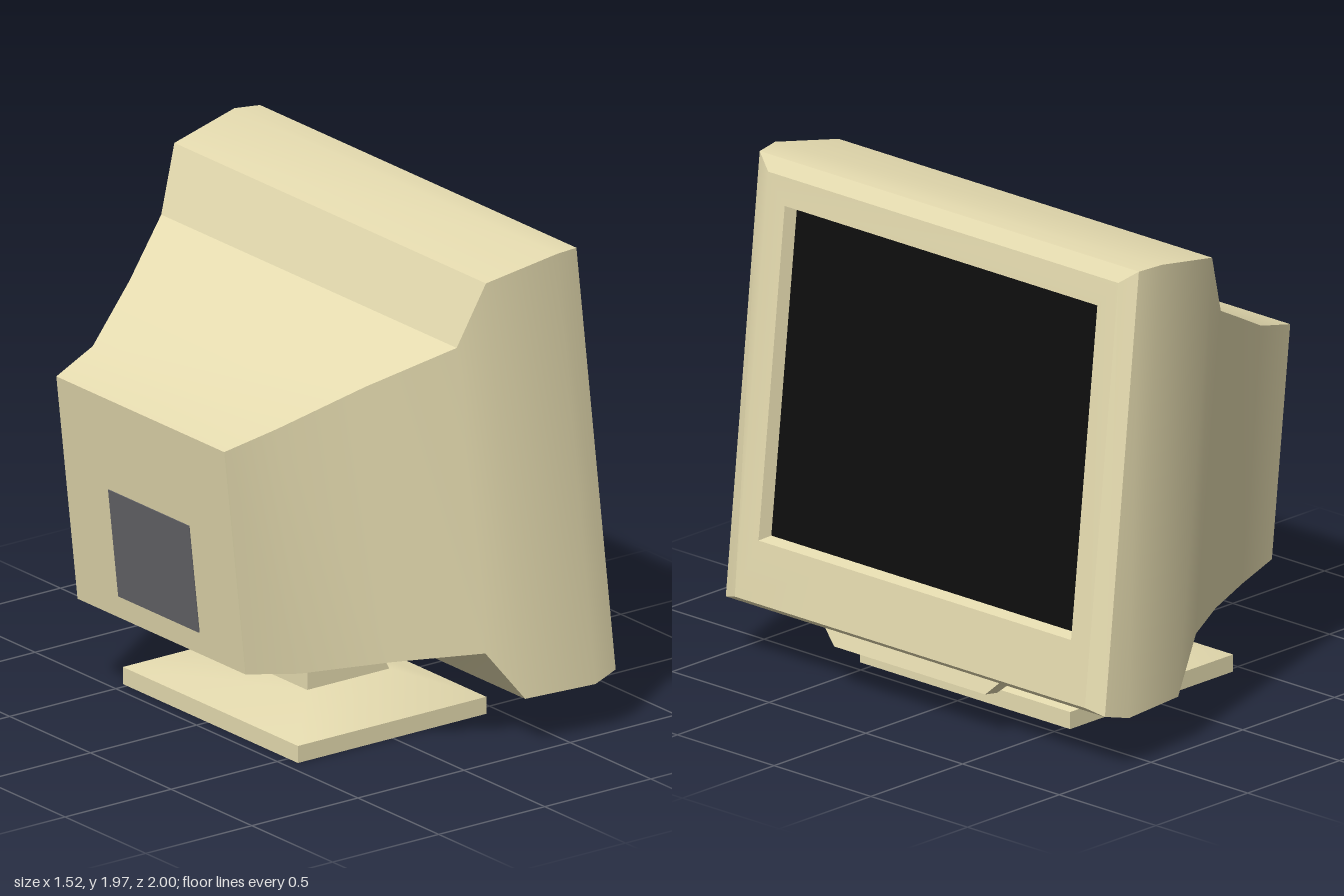
import * as THREE from 'three';
import { toCreasedNormals } from 'three/addons/utils/BufferGeometryUtils.js';

const casing = new THREE.MeshStandardMaterial({ color: 0xe6dcb0 });
const glass = new THREE.MeshStandardMaterial({ color: 0x0d0d0d });
const grey = new THREE.MeshStandardMaterial({ color: 0x66666a });

// Skin a list of rings; each ring runs counter-clockwise seen from the far end.
function loft(rings, capStart = true, capEnd = true) {
  const n = rings[0].length, index = [];
  const at = (i, j) => i * n + (j % n);
  for (let i = 0; i < rings.length - 1; i++)
    for (let j = 0; j < n; j++) {
      const a = at(i, j), b = at(i, j + 1), c = at(i + 1, j + 1), d = at(i + 1, j);
      index.push(a, b, c, a, c, d);
    }
  const last = rings.length - 1;
  for (let j = 1; j < n - 1; j++) {
    if (capStart) index.push(at(0, 0), at(0, j + 1), at(0, j));
    if (capEnd) index.push(at(last, 0), at(last, j), at(last, j + 1));
  }
  const geo = new THREE.BufferGeometry();
  geo.setAttribute('position', new THREE.Float32BufferAttribute(rings.flat(2), 3));
  geo.setIndex(index);
  return toCreasedNormals(geo, 0.4);
}

// Upright cross-section of the housing, with an optional shift of its bottom centre.
function section([xt, yt, xb, yb, w, shift = 0]) {
  const m = w * 0.45;
  return [
    [xb, yb, w], [xb + shift, yb, m], [xb + shift, yb, -m],
    [xb, yb, -w], [xt, yt, -w], [xt, yt, w],
  ];
}

// Level rectangle at height y.
const level = (y, x0, x1, z0, z1) => [[x0, y, z1], [x1, y, z1], [x1, y, z0], [x0, y, z0]];

export function createModel() {
  const group = new THREE.Group();
  const add = (name, geometry, material) => {
    const mesh = new THREE.Mesh(geometry, material);
    mesh.name = name;
    group.add(mesh);
  };

  // Housing from back to front, ending in the sunken screen opening.
  // Columns: top x, top y, bottom x, bottom y, half width, bottom centre shift
  const sections = [
    [-0.765, 1.30, -0.665, 0.39, 0.52],
    [-0.555, 1.36, -0.45, 0.36, 0.57],
    [-0.26, 1.51, -0.137, 0.383, 0.73],
    [0.03, 1.655, 0.165, 0.405, 0.915, -0.085],
    [0.13, 1.905, 0.315, 0.205, 0.965],
    [0.44, 1.965, 0.62, 0.207, 1.0],
    [0.545, 1.96, 0.73, 0.235, 0.98],
    [0.578, 1.905, 0.76, 0.26, 0.905],
    [0.59, 1.795, 0.733, 0.50, 0.808],
    [0.54, 1.78, 0.68, 0.51, 0.792],
  ].map(section);
  add('housing', loft(sections, true, false), casing);

  // Screen closing the opening.
  const opening = sections[sections.length - 1];
  add('screen', loft([opening.map(([x, y, z]) => [x - 0.01, y, z]), opening]), glass);

  // Grey panel on the lower half of the back.
  const panel = (dx) => [
    [-0.675 + dx, 0.481, 0.25], [-0.675 + dx, 0.481, -0.25],
    [-0.723 + dx, 0.918, -0.25], [-0.723 + dx, 0.918, 0.25],
  ];
  add('backPanel', loft([panel(-0.004), panel(0.004)]), grey);

  // Control lip hanging under the front edge.
  add('controlLip', loft([
    [[0.68, 0.17, 0.405], [0.745, 0.18, 0.405], [0.745, 0.18, -0.375], [0.68, 0.17, -0.375]],
    level(0.25, 0.60, 0.728, -0.45, 0.48),
  ]), casing);

  // Tapered foot and leaning neck.
  add('base', loft([
    level(0, -0.448, 0.44, -0.525, 0.56),
    level(0.068, -0.448, 0.44, -0.525, 0.56),
    level(0.142, -0.175, 0.218, -0.225, 0.257),
  ]), casing);
  add('neck', loft([
    level(0.14, -0.172, 0.216, -0.223, 0.255),
    level(0.405, -0.172, 0.075, -0.223, 0.255),
  ]), casing);

  return group;
}
